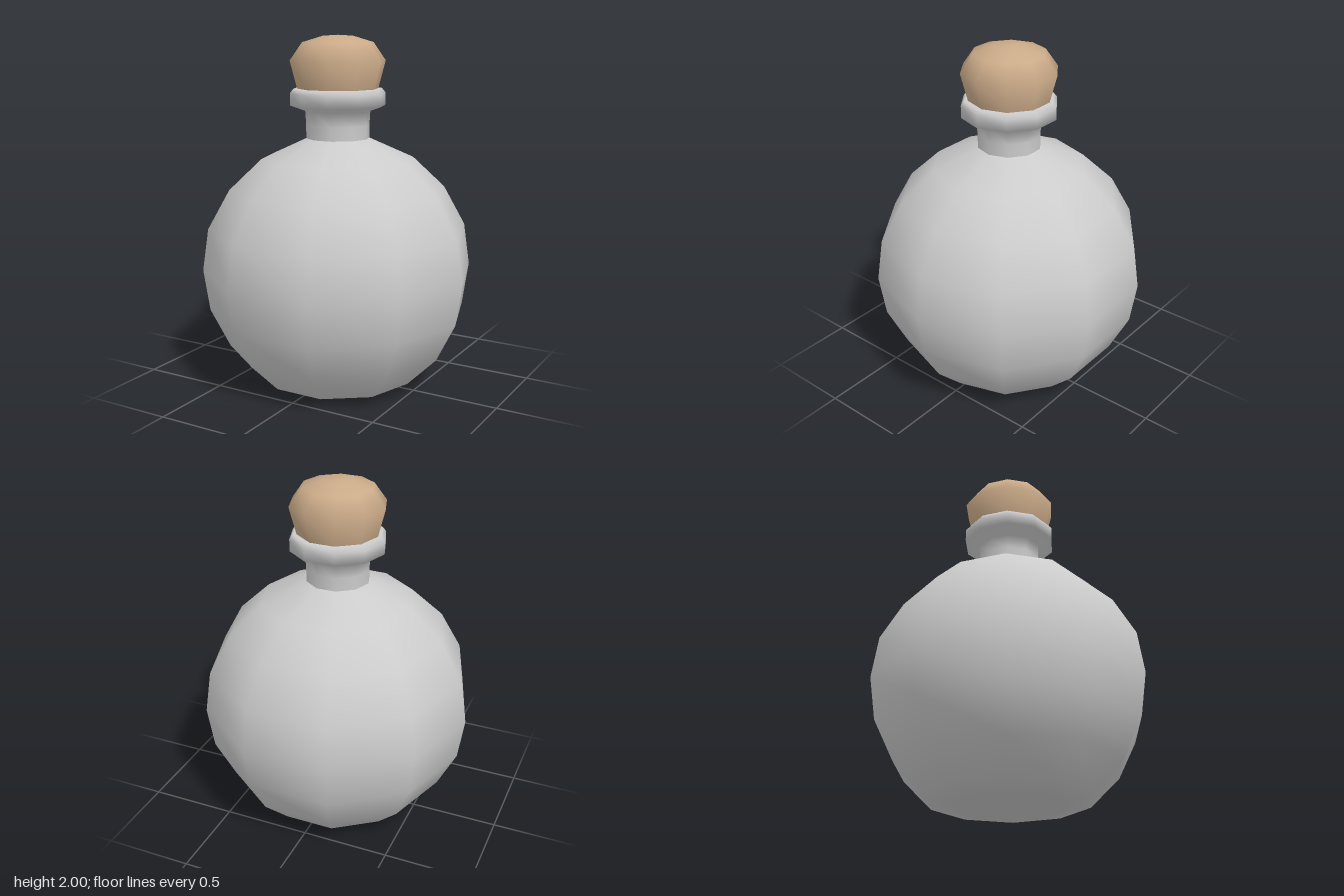
import * as THREE from 'three';

// Ten-sided turned shape with a corner on the +x axis, profile from bottom to top
function turned(name, profile, color) {
  const points = profile.map(([r, y]) => new THREE.Vector2(r, y));
  const geometry = new THREE.LatheGeometry(points, 10, Math.PI / 2);
  const mesh = new THREE.Mesh(geometry, new THREE.MeshStandardMaterial({ color }));
  mesh.name = name;
  return mesh;
}

export function createModel() {
  const group = new THREE.Group();
  group.name = 'corkedFlask';

  // Round belly with a flat base
  group.add(turned('belly', [
    [0, 0.005], [0.31, 0.005], [0.46, 0.035], [0.635, 0.21], [0.745, 0.43],
    [0.78, 0.67], [0.745, 0.91], [0.62, 1.135], [0.435, 1.31], [0.18, 1.425],
  ], 0xcccccc));

  // Narrow neck with a flared lip
  group.add(turned('neckAndLip', [
    [0.18, 1.42], [0.18, 1.5], [0.185, 1.58], [0.27, 1.61],
    [0.27, 1.68], [0.25, 1.705], [0, 1.705],
  ], 0xcccccc));

  // Stopper, wider at the top with a domed crown
  group.add(turned('cork', [
    [0, 1.66], [0.215, 1.66], [0.23, 1.705], [0.27, 1.86],
    [0.2, 1.96], [0.085, 1.995], [0, 2],
  ], 0xcaaa88));

  return group;
}
